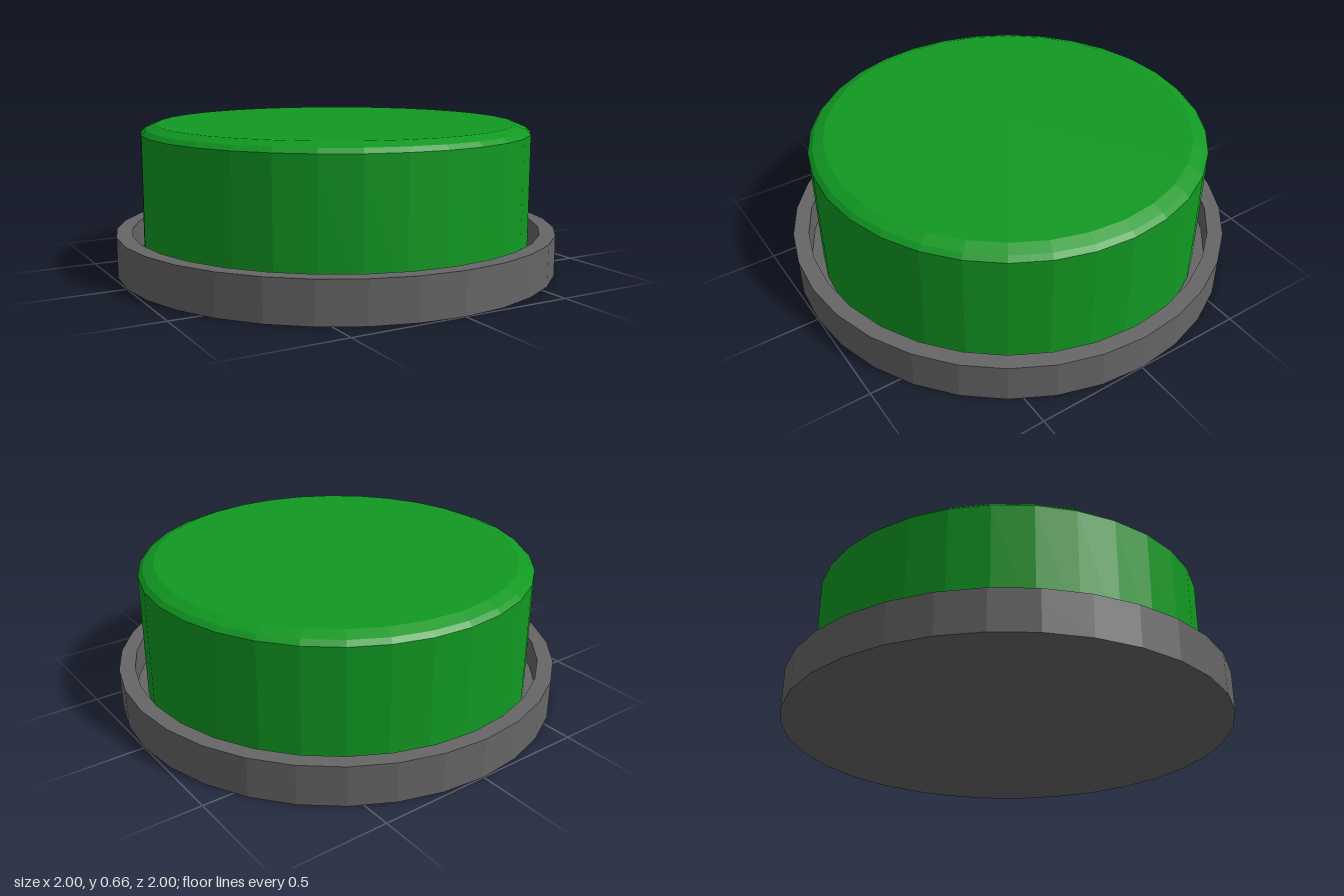
import * as THREE from 'three';

const SIDES = 32;

// Faceted solid of revolution from [radius, height] pairs
function turned(name, profile, color) {
  const points = profile.map(([r, y]) => new THREE.Vector2(r, y));
  const material = new THREE.MeshStandardMaterial({ color, flatShading: true });
  const mesh = new THREE.Mesh(new THREE.LatheGeometry(points, SIDES), material);
  mesh.name = name;
  return mesh;
}

export function createModel() {
  const group = new THREE.Group();
  group.name = 'pushButton';

  // Dish-shaped base with a raised rim and a recessed floor
  group.add(turned('base', [
    [0, 0], [1, 0], [1, 0.18], [0.93, 0.18], [0.93, 0.05], [0, 0.05],
  ], 0x666666));

  // Button cap with a rounded top edge
  group.add(turned('buttonCap', [
    [0.88, 0.05], [0.88, 0.62], [0.86, 0.64], [0.81, 0.66], [0, 0.66],
  ], 0x119922));

  return group;
}
